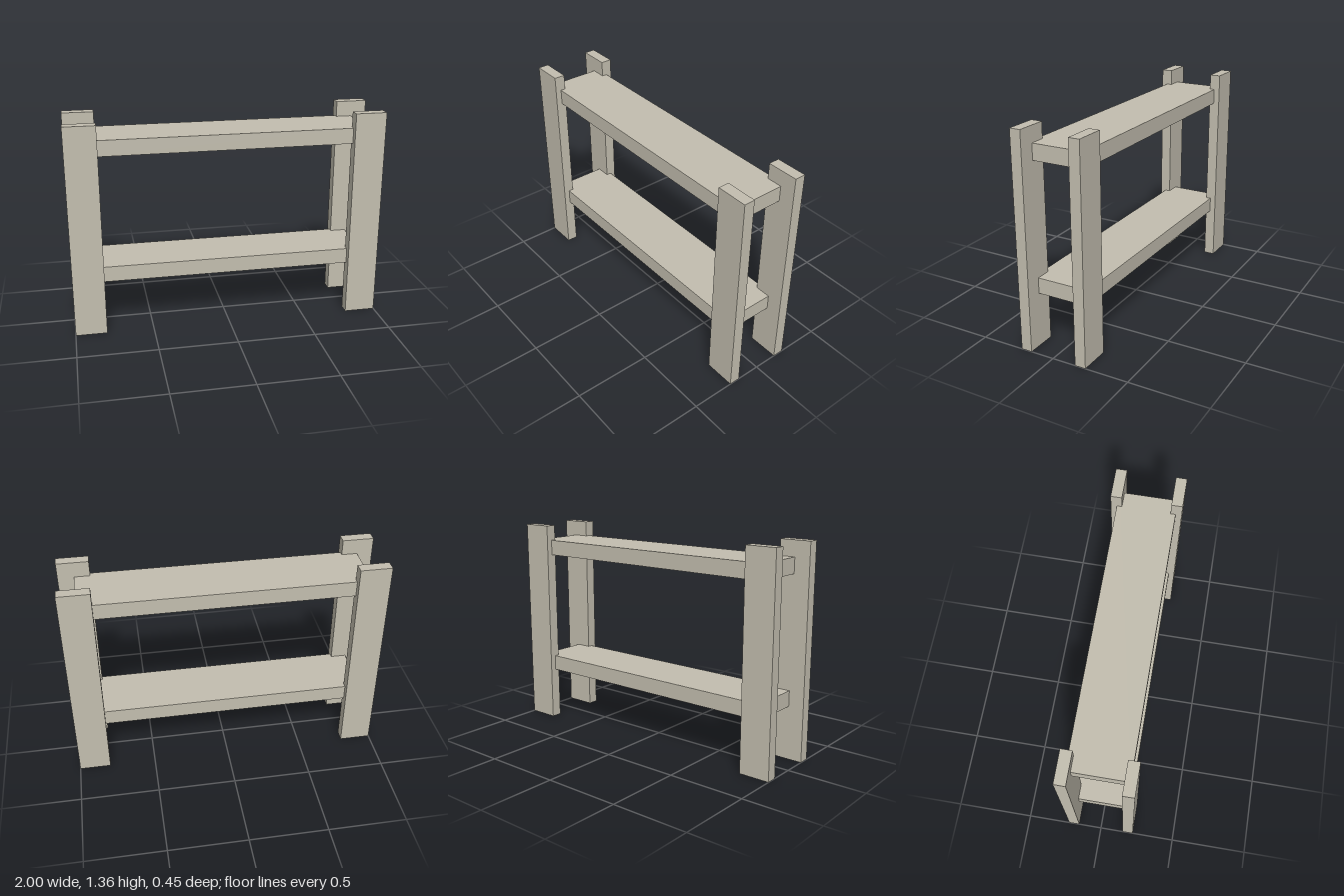
import * as THREE from 'three';

export function createModel() {
  const model = new THREE.Group();
  model.name = 'shelfRack';
  const wood = new THREE.MeshStandardMaterial({ name: 'paleWood', color: 0xc4bfb0 });

  const addBox = (name, size, position) => {
    const mesh = new THREE.Mesh(new THREE.BoxGeometry(...size), wood);
    mesh.name = name;
    mesh.position.set(...position);
    model.add(mesh);
  };

  // Four flat upright posts
  for (const [side, x] of [['left', 0.9], ['right', -0.9]]) {
    for (const [end, z] of [['Front', 0.188], ['Back', -0.188]]) {
      addBox(`${side}${end}Post`, [0.2, 1.36, 0.07], [x, 0.68, z]);
    }
  }

  // Two boards, their long edges let into the posts
  addBox('lowerShelf', [1.8, 0.1, 0.37], [0, 0.392, 0]);
  addBox('upperShelf', [1.8, 0.1, 0.37], [0, 1.21, 0]);

  return model;
}
